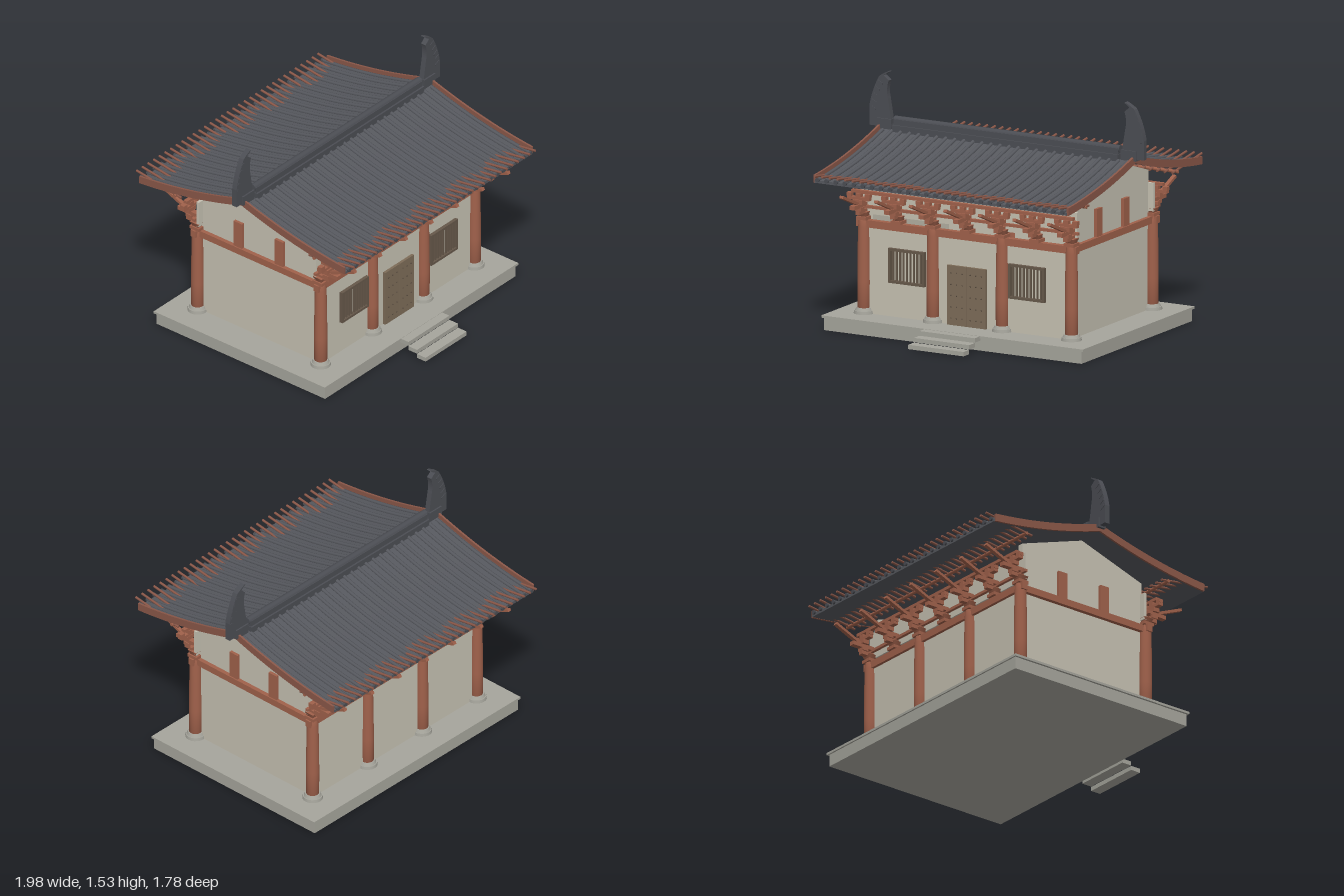
import * as THREE from 'three';

const mat = (color, side = THREE.FrontSide) => new THREE.MeshStandardMaterial({ color, side });
const stone = mat(0xa6a59c), plaster = mat(0xc6c1b2), timber = mat(0xa0614b), board = mat(0x8a5748);
const doorWood = mat(0x7d6c58), lattice = mat(0x66584a), iron = mat(0x5c4f42);
const tile = mat(0x56585e, THREE.DoubleSide), ridgeTile = mat(0x4b4d53);

const roofY = (z) => { const t = Math.abs(z) / 0.833; return 1.198 - 0.27 * t + 0.098 * t * t; };
const range = (n, a, b) => Array.from({ length: n }, (_, i) => a + (b - a) * i / (n - 1));

export function createModel() {
  const model = new THREE.Group();

  const group = (name, parent = model) => {
    const g = new THREE.Group();
    g.name = name;
    parent.add(g);
    return g;
  };
  const add = (parent, name, geo, material, x = 0, y = 0, z = 0) => {
    const m = new THREE.Mesh(geo, material);
    m.name = name;
    m.position.set(x, y, z);
    parent.add(m);
    return m;
  };
  // box given by its x, y and z ranges
  const box = (parent, name, material, x0, x1, y0, y1, z0, z1) =>
    add(parent, name, new THREE.BoxGeometry(x1 - x0, y1 - y0, z1 - z0), material,
      (x0 + x1) / 2, (y0 + y1) / 2, (z0 + z1) / 2);
  // profile in (z, y) extruded along x
  const prism = (parent, name, material, pts, x, width) => {
    const shape = new THREE.Shape(pts.map(([z, y]) => new THREE.Vector2(z, y)));
    const geo = new THREE.ExtrudeGeometry(shape, { depth: width, bevelEnabled: false });
    geo.translate(0, 0, -width / 2).rotateY(-Math.PI / 2);
    return add(parent, name, geo, material, x);
  };

  // platform and steps
  const base = group('platform');
  box(base, 'plinth', stone, -0.93, 0.93, 0, 0.08, -0.685, 0.685);
  box(base, 'plinthCap', stone, -0.945, 0.945, 0.08, 0.095, -0.695, 0.695);
  for (let i = 0; i < 3; i++)
    box(base, 'step', stone, -0.2, 0.2, 0.005 + i * 0.03, 0.033 + i * 0.03, 0.825 - i * 0.07, 0.895 - i * 0.07);

  // walls and gables
  const walls = group('walls');
  for (const s of [-1, 1]) {
    const zw = s * 0.485, xw = s * 0.72;
    box(walls, 'longWall', plaster, -0.74, 0.74, 0.095, 0.66, zw - 0.015, zw + 0.015);
    box(walls, 'upperPanel', plaster, -0.78, 0.78, 0.73, 0.91, s * 0.475 - 0.01, s * 0.475 + 0.01);
    box(walls, 'endWall', plaster, xw - 0.02, xw + 0.02, 0.095, 0.99, -0.475, 0.475);
    prism(walls, 'gable', plaster, [[-0.475, 0.99], [0.475, 0.99], [0, 1.148]], xw, 0.04);
    for (const z of [-0.167, 0.167])
      box(walls, 'gableStrut', timber, s * 0.74 - 0.02, s * 0.74 + 0.02, 0.695, 0.875, z - 0.034, z + 0.034);
  }

  // columns and lintels
  const frame = group('frame');
  const columnGeo = new THREE.LatheGeometry(
    [[0, 0.13], [0.041, 0.13], [0.042, 0.3], [0.04, 0.5], [0.037, 0.65], [0.033, 0.69], [0.026, 0.71], [0, 0.71]]
      .map(([r, y]) => new THREE.Vector2(r, y)), 20);
  const footGeo = new THREE.CylinderGeometry(0.062, 0.065, 0.02, 20);
  const collarGeo = new THREE.CylinderGeometry(0.048, 0.056, 0.018, 20);
  for (const s of [-1, 1]) {
    for (const x of [-0.75, -0.25, 0.25, 0.75]) {
      add(frame, 'columnFoot', footGeo, stone, x, 0.105, s * 0.5);
      add(frame, 'columnCollar', collarGeo, stone, x, 0.124, s * 0.5);
      add(frame, 'column', columnGeo, timber, x, 0, s * 0.5);
    }
    box(frame, 'longLintel', timber, -0.795, 0.795, 0.65, 0.697, s * 0.5 - 0.02, s * 0.5 + 0.02);
    box(frame, 'endLintel', timber, s * 0.75 - 0.018, s * 0.75 + 0.018, 0.65, 0.695, -0.5, 0.5);
  }

  // double door with studs
  const door = group('door');
  const studGeo = new THREE.SphereGeometry(0.005, 8, 6);
  for (const s of [-1, 1]) {
    box(door, 'doorLeaf', doorWood, s * 0.071 - 0.069, s * 0.071 + 0.069, 0.095, 0.477, 0.495, 0.518);
    for (const x of [0.03, 0.07, 0.11])
      for (const y of range(5, 0.14, 0.43)) add(door, 'doorStud', studGeo, iron, s * x, y, 0.519);
  }

  // lattice windows
  for (const s of [-1, 1]) {
    const win = group('window');
    win.position.set(s * 0.434, 0.425, 0.508);
    for (const t of [-1, 1]) {
      box(win, 'windowRail', lattice, -0.131, 0.131, t * 0.103 - 0.008, t * 0.103 + 0.008, -0.012, 0.014);
      box(win, 'windowStile', lattice, t * 0.123 - 0.008, t * 0.123 + 0.008, -0.11, 0.11, -0.012, 0.014);
    }
    for (const x of range(9, -0.1, 0.1))
      box(win, 'windowBar', lattice, x - 0.005, x + 0.005, -0.1, 0.1, -0.006, 0.006);
  }

  // bracket sets, purlins and rafters, built for the front and turned for the back
  const capGeo = new THREE.CylinderGeometry(0.05, 0.035, 0.03, 4).rotateY(Math.PI / 4);
  const rafterGeo = new THREE.CylinderGeometry(0.008, 0.008, 0.369, 8);
  for (const turn of [0, Math.PI]) {
    const eave = group(turn ? 'backEave' : 'frontEave');
    eave.rotation.y = turn;
    for (const x of range(7, -0.75, 0.75)) {
      const b = group('bracketSet', eave);
      b.position.x = x;
      box(b, 'bracketSeat', timber, -0.035, 0.035, 0.697, 0.718, 0.462, 0.538);
      add(b, 'bracketCap', capGeo, timber, 0, 0.733, 0.5);
      box(b, 'lowerArm', timber, -0.016, 0.016, 0.738, 0.765, 0.47, 0.58);
      box(b, 'armBlock', timber, -0.024, 0.024, 0.763, 0.785, 0.535, 0.58);
      box(b, 'upperArm', timber, -0.018, 0.018, 0.782, 0.808, 0.48, 0.65);
      box(b, 'upperBlock', timber, -0.034, 0.034, 0.806, 0.835, 0.54, 0.585);
      box(b, 'crossArm', timber, -0.08, 0.08, 0.833, 0.852, 0.543, 0.575);
      for (const t of [-0.066, 0, 0.066])
        box(b, 'smallBlock', timber, t - 0.017, t + 0.017, 0.852, 0.875, 0.543, 0.575);
      const lever = box(b, 'slantingArm', timber, -0.013, 0.013, -0.009, 0.009, -0.125, 0.125);
      lever.position.set(0, 0.843, 0.665);
      lever.rotation.x = -0.4;
    }
    box(eave, 'lowerTieBeam', timber, -0.8, 0.8, 0.77, 0.788, 0.485, 0.505);
    box(eave, 'upperTieBeam', timber, -0.8, 0.8, 0.877, 0.897, 0.545, 0.573);
    const purlin = add(eave, 'eavePurlin', new THREE.CylinderGeometry(0.011, 0.011, 1.8, 12), timber, 0, 0.978, 0.567);
    purlin.rotation.z = Math.PI / 2;
    for (const x of range(33, -0.885, 0.885)) {
      const r = add(eave, 'rafter', rafterGeo, board, x, 1.004, 0.7015);
      r.rotation.x = Math.PI / 2 - 0.147;
    }
  }

  // curved roof slab and bargeboards
  const roof = group('roof');
  const band = (half, top, bottom) => {
    const zs = range(33, -half, half);
    return [...zs.map((z) => [z, roofY(z) - bottom]), ...zs.reverse().map((z) => [z, roofY(z) - top])];
  };
  prism(roof, 'roofSlab', tile, band(0.838, 0.03, 0.048), 0, 1.82);
  for (const s of [-1, 1]) prism(roof, 'bargeboard', board, band(0.833, 0, 0.05), s * 0.915, 0.014);

  // cover tile rows with round ends
  const rowCurve = new THREE.CatmullRomCurve3(
    range(7, 0.035, 0.845).map((z) => new THREE.Vector3(0, roofY(z) - 0.026, z)));
  const rowGeo = new THREE.TubeGeometry(rowCurve, 12, 0.012, 8);
  const endGeo = new THREE.CylinderGeometry(0.014, 0.014, 0.012, 10).rotateX(Math.PI / 2);
  for (const turn of [0, Math.PI]) {
    const rows = group('tileRows', roof);
    rows.rotation.y = turn;
    for (const x of range(28, -0.885, 0.885)) {
      add(rows, 'tileRow', rowGeo, tile, x);
      add(rows, 'tileEnd', endGeo, ridgeTile, x, roofY(0.845) - 0.026, 0.845);
    }
  }

  // main ridge
  const ridge = group('ridge');
  box(ridge, 'ridgeBase', ridgeTile, -0.815, 0.815, 1.15, 1.198, -0.04, 0.04);
  box(ridge, 'ridgeBody', ridgeTile, -0.81, 0.81, 1.198, 1.235, -0.028, 0.028);
  const cap = add(ridge, 'ridgeCap', new THREE.CylinderGeometry(0.024, 0.024, 1.63, 14), ridgeTile, 0, 1.228, 0);
  cap.rotation.z = Math.PI / 2;

  // owl-tail finials with hooked tip and raised scales
  const finialShape = new THREE.Shape();
  finialShape.moveTo(0.826, 1.177);
  finialShape.lineTo(0.992, 1.177);
  finialShape.lineTo(0.992, 1.3);
  finialShape.quadraticCurveTo(0.975, 1.4, 0.923, 1.495);
  finialShape.quadraticCurveTo(0.9, 1.515, 0.855, 1.535);
  finialShape.lineTo(0.852, 1.53);
  finialShape.lineTo(0.888, 1.505);
  finialShape.lineTo(0.852, 1.475);
  finialShape.quadraticCurveTo(0.872, 1.42, 0.857, 1.36);
  finialShape.closePath();
  const finialGeo = new THREE.ExtrudeGeometry(finialShape, { depth: 0.036, bevelEnabled: false, curveSegments: 8 });
  finialGeo.translate(0, 0, -0.018);
  for (const turn of [0, Math.PI]) {
    const finial = group('finial');
    finial.rotation.y = turn;
    add(finial, 'finialBody', finialGeo, ridgeTile);
    box(finial, 'finialFoot', ridgeTile, 0.83, 0.94, 1.165, 1.23, -0.028, 0.028);
    for (let i = 0; i < 5; i++) {
      const scale = box(finial, 'finialScale', ridgeTile, -0.02, 0.02, -0.007, 0.007, -0.021, 0.021);
      scale.position.set(0.966 - 0.004 * i - 0.0022 * i * i, 1.29 + i * 0.042, 0);
      scale.rotation.z = 0.5;
    }
  }
  return model;
}
